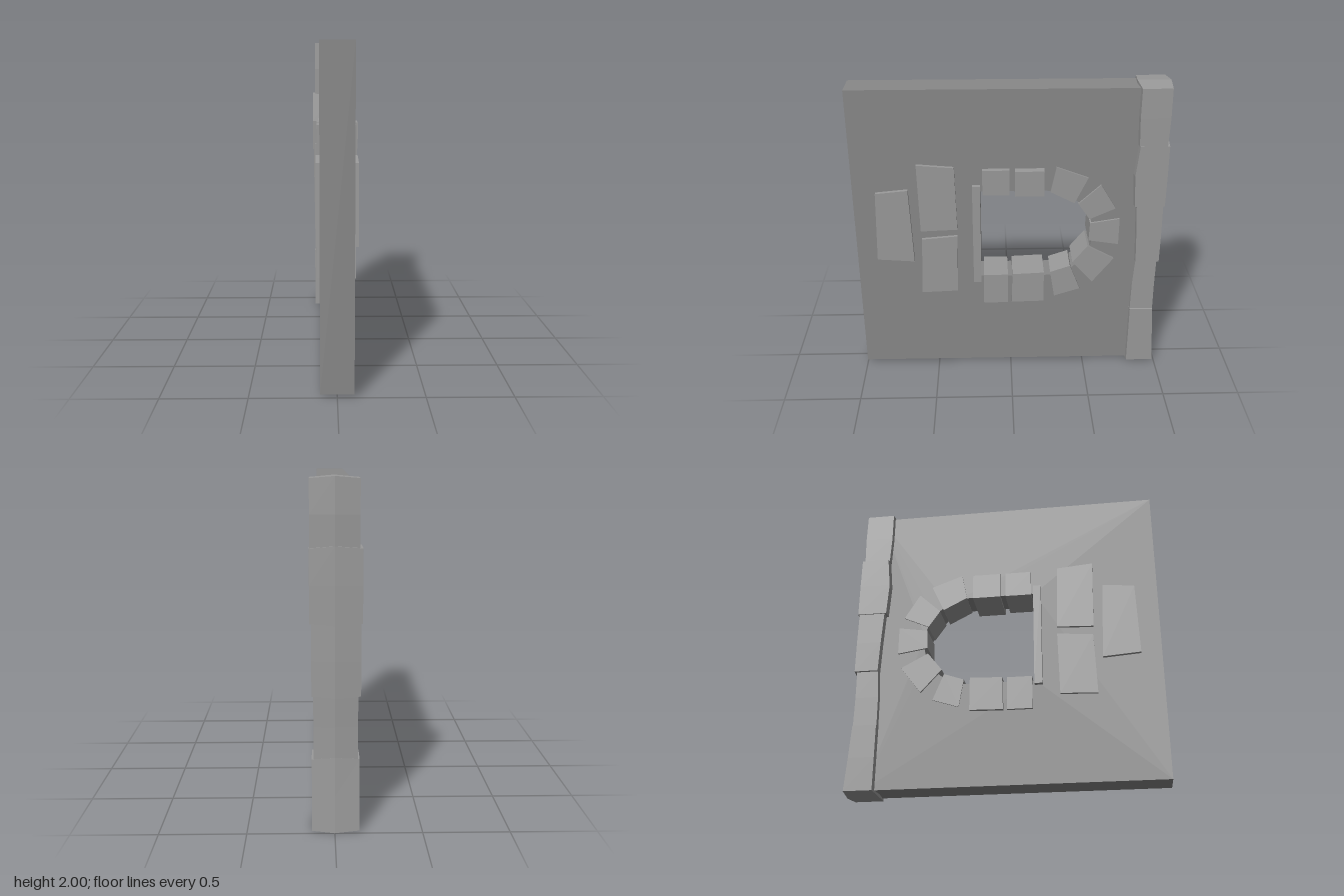
import * as THREE from 'three';

const wallMaterial = new THREE.MeshStandardMaterial({ color: 0x888888, flatShading: true });
const stoneMaterial = new THREE.MeshStandardMaterial({ color: 0x9a9a9a, flatShading: true });

// Extrudes a (z, y) shape sideways between x0 and x1
function slab(name, shape, x0, x1, material = stoneMaterial) {
  const geo = new THREE.ExtrudeGeometry(shape, { depth: x1 - x0, bevelEnabled: false, curveSegments: 12 });
  geo.rotateY(-Math.PI / 2).translate(x1, 0, 0);
  const mesh = new THREE.Mesh(geo, material);
  mesh.name = name;
  return mesh;
}

const polygon = (pts) => new THREE.Shape(pts.map(([z, y]) => new THREE.Vector2(z, y)));
const rect = (z0, z1, y0, y1) => [[z0, y0], [z1, y0], [z1, y1], [z0, y1]];

// Six-sided pillar stone with ridged front, back, top and bottom; rings are [y, zFront, zBack]
function pillarStone(name, xl, xr, rings) {
  const pos = [], idx = [];
  rings.forEach(([y, zf, zb], i) => {
    const ridge = i === 0 ? y - 0.01 : i === rings.length - 1 ? y + 0.012 : y;
    pos.push(xr, y, zf - 0.012, xr, y, zb + 0.012, 0, ridge, zb);
    pos.push(xl, y, zb + 0.012, xl, y, zf - 0.012, 0, ridge, zf);
  });
  for (let r = 0; r < rings.length - 1; r++) {
    for (let k = 0; k < 6; k++) {
      const a = r * 6 + k, b = r * 6 + (k + 1) % 6;
      idx.push(a, b, b + 6, a, b + 6, a + 6);
    }
  }
  const t = (rings.length - 1) * 6;
  idx.push(t, t + 1, t + 2, t, t + 2, t + 5, t + 2, t + 3, t + 4, t + 2, t + 4, t + 5);
  idx.push(0, 2, 1, 0, 5, 2, 2, 4, 3, 2, 5, 4);
  const indexed = new THREE.BufferGeometry();
  indexed.setAttribute('position', new THREE.Float32BufferAttribute(pos, 3));
  indexed.setIndex(idx);
  const geo = indexed.toNonIndexed();
  geo.computeVertexNormals();
  const mesh = new THREE.Mesh(geo, stoneMaterial);
  mesh.name = name;
  return mesh;
}

export function createModel() {
  const model = new THREE.Group();
  model.name = 'stoneWallWithArch';

  // Wall with a sideways arched opening
  const wall = polygon(rect(-0.88, 1, 0.02, 1.98));
  const hole = new THREE.Path();
  hole.moveTo(0.2, 0.69);
  hole.lineTo(0.2, 1.31);
  hole.lineTo(-0.22, 1.31);
  hole.absarc(-0.22, 1, 0.31, Math.PI / 2, Math.PI * 1.5, false);
  hole.closePath();
  wall.holes.push(hole);
  model.add(slab('wall', wall, -0.097, 0.097, wallMaterial));

  // Stones lining the opening, running right through the wall
  const arch = new THREE.Group();
  arch.name = 'archStones';
  [
    [rect(0.01, 0.18, 1.295, 1.465), -0.12, 0.13],
    [rect(-0.208, -0.025, 1.295, 1.465), -0.12, 0.15],
    [[[-0.285, 1.475], [-0.487, 1.4], [-0.405, 1.225], [-0.25, 1.305]], -0.11, 0.11],
    [[[-0.57, 1.35], [-0.67, 1.185], [-0.505, 1.11], [-0.43, 1.22]], -0.105, 0.11],
    [[[-0.7, 1.11], [-0.7, 0.925], [-0.505, 0.955], [-0.51, 1.08]], -0.11, 0.11],
    [[[-0.5, 0.915], [-0.675, 0.82], [-0.54, 0.645], [-0.405, 0.795]], -0.11, 0.115],
    [[[-0.39, 0.765], [-0.46, 0.59], [-0.29, 0.535], [-0.26, 0.72]], -0.105, 0.11],
    [[[-0.01, 0.715], [-0.218, 0.725], [-0.218, 0.505], [-0.005, 0.5]], -0.12, 0.125],
    [rect(0.02, 0.18, 0.5, 0.715), -0.115, 0.13],
  ].forEach(([pts, x0, x1], i) => arch.add(slab(`archStone${i + 1}`, polygon(pts), x0, x1)));
  model.add(arch);
  model.add(slab('sill', polygon(rect(0.195, 0.245, 0.66, 1.355)), -0.128, 0.13));

  // Loose bricks showing on both faces
  const bricks = new THREE.Group();
  bricks.name = 'wallBricks';
  [
    [[[0.855, 1.31], [0.65, 1.33], [0.63, 0.82], [0.87, 0.838]], -0.12, 0.122],
    [[[0.59, 1.5], [0.355, 1.48], [0.345, 1.05], [0.58, 1.04]], -0.115, 0.12],
    [[[0.575, 0.98], [0.345, 1.0], [0.355, 0.59], [0.59, 0.58]], -0.115, 0.118],
  ].forEach(([pts, x0, x1], i) => bricks.add(slab(`wallBrick${i + 1}`, polygon(pts), x0, x1)));
  model.add(bricks);

  // Pillar of uneven stones along the back edge
  const pillar = new THREE.Group();
  pillar.name = 'pillar';
  [
    [-0.14, 0.13, [[0.01, -0.795, -1], [0.22, -0.795, -0.985], [0.43, -0.795, -0.972]]],
    [-0.13, 0.12, [[0.43, -0.795, -0.972], [0.62, -0.797, -0.97], [0.8, -0.808, -0.972]]],
    [-0.145, 0.13, [[0.8, -0.808, -0.985], [1.0, -0.8, -0.985], [1.21, -0.788, -0.982]]],
    [-0.152, 0.14, [[1.21, -0.775, -0.99], [1.42, -0.763, -0.99], [1.62, -0.783, -0.988]]],
    [-0.135, 0.138, [[1.62, -0.778, -0.975], [1.8, -0.77, -0.98], [1.988, -0.77, -0.977]]],
  ].forEach(([xl, xr, rings], i) => pillar.add(pillarStone(`pillarStone${i + 1}`, xl, xr, rings)));
  model.add(pillar);

  return model;
}
